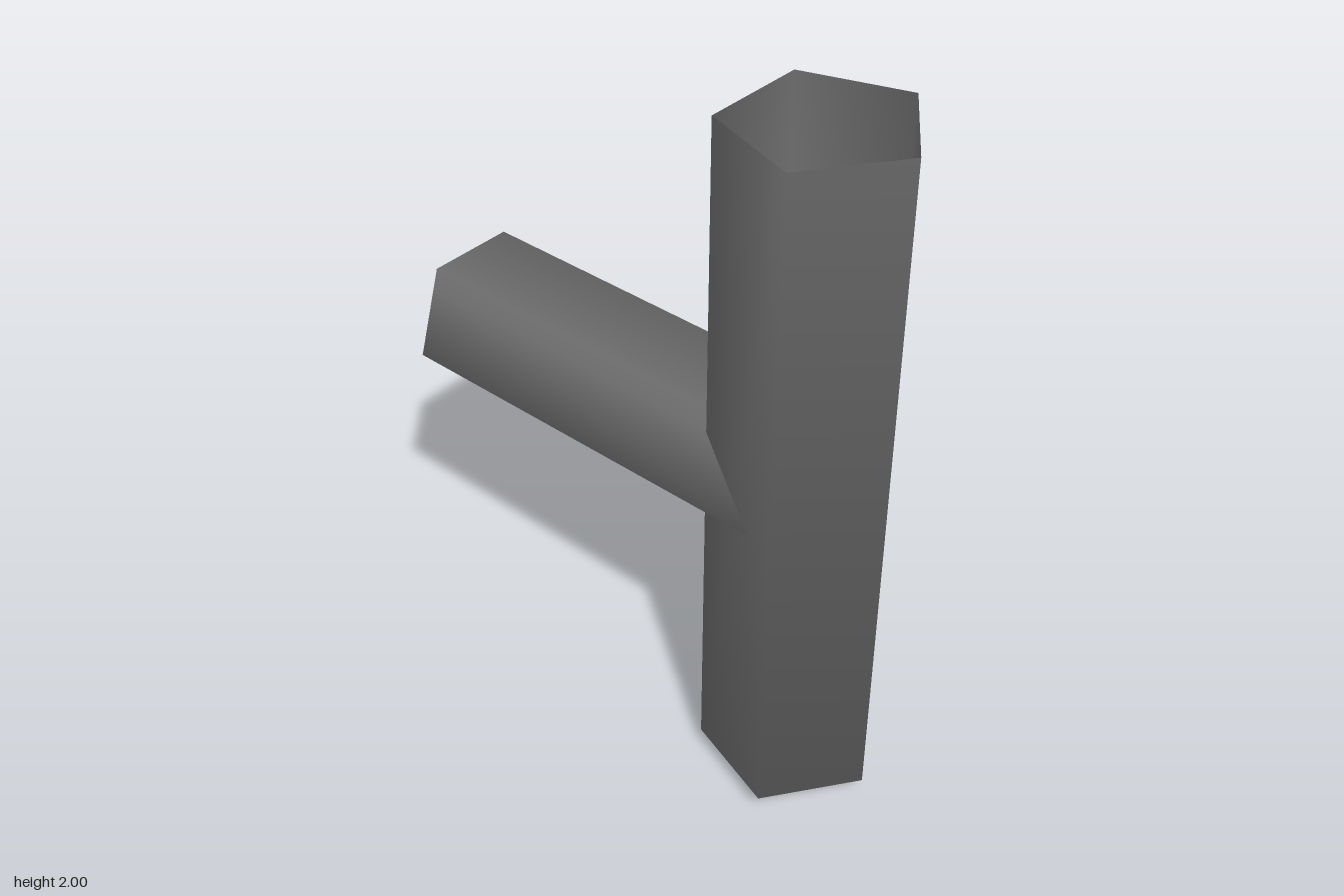
import * as THREE from 'three';

const material = new THREE.MeshStandardMaterial({ color: 0x6b6b6b, side: THREE.DoubleSide });

// Smooth skin through closed cross-sections; each point is { position, normal }
function skin(name, loops) {
  const n = loops[0].length;
  const index = [];
  for (let i = 0; i < loops.length - 1; i++) {
    for (let j = 0; j < n; j++) {
      const k = (j + 1) % n;
      const a = i * n + j, b = i * n + k, c = b + n, d = a + n;
      index.push(a, b, c, a, c, d);
    }
  }
  const points = loops.flat();
  const geometry = new THREE.BufferGeometry();
  geometry.setAttribute('position', new THREE.Float32BufferAttribute(points.flatMap((p) => p.position), 3));
  geometry.setAttribute('normal', new THREE.Float32BufferAttribute(points.flatMap((p) => p.normal), 3));
  geometry.setIndex(index);
  const mesh = new THREE.Mesh(geometry, material);
  mesh.name = name;
  return mesh;
}

// Horizontal pentagon with one corner towards the front; tilt turns its normals downwards
const CENTER_Z = 0.467;
function pentagon(radius, y, tilt) {
  const down = THREE.MathUtils.degToRad(tilt);
  return Array.from({ length: 5 }, (_, i) => {
    const a = (i / 5) * Math.PI * 2;
    const s = Math.sin(a), c = Math.cos(a);
    return {
      position: [s * radius, y, CENTER_Z + c * radius],
      normal: [s * Math.cos(down), -Math.sin(down), c * Math.cos(down)],
    };
  });
}

// Depth at which the side pipe meets the back faces of the upright pipe
function wallZ(x) {
  return 0.265 + (Math.max(0, Math.abs(x) - 0.147) / 0.091) * 0.279;
}

export function createModel() {
  const group = new THREE.Group();
  group.name = 'branchedPipe';

  // Upright pipe: open top, chamfered and closed bottom
  group.add(skin('uprightPipe', [
    pentagon(0, 0, 90), pentagon(0.153, 0, 70), pentagon(0.25, 0.065, 25), pentagon(0.25, 2, 0),
  ]));

  // Side pipe: pentagon with a corner down, extra points where it crosses the wall corners
  const half = [[0.147, 0.889], [0.208, 0.933], [0.147, 1.124], [0.129, 1.18]];
  const section = [[0, 0.782], ...half, ...half.map(([x, y]) => [-x, y]).reverse()];
  const sideLoop = (depth) => section.map(([x, y]) => ({
    position: [x, y, depth(x)],
    normal: new THREE.Vector3(x, y - 1.001, 0).normalize().toArray(),
  }));
  group.add(skin('sidePipe', [sideLoop(() => -0.717), sideLoop(wallZ)]));

  return group;
}
